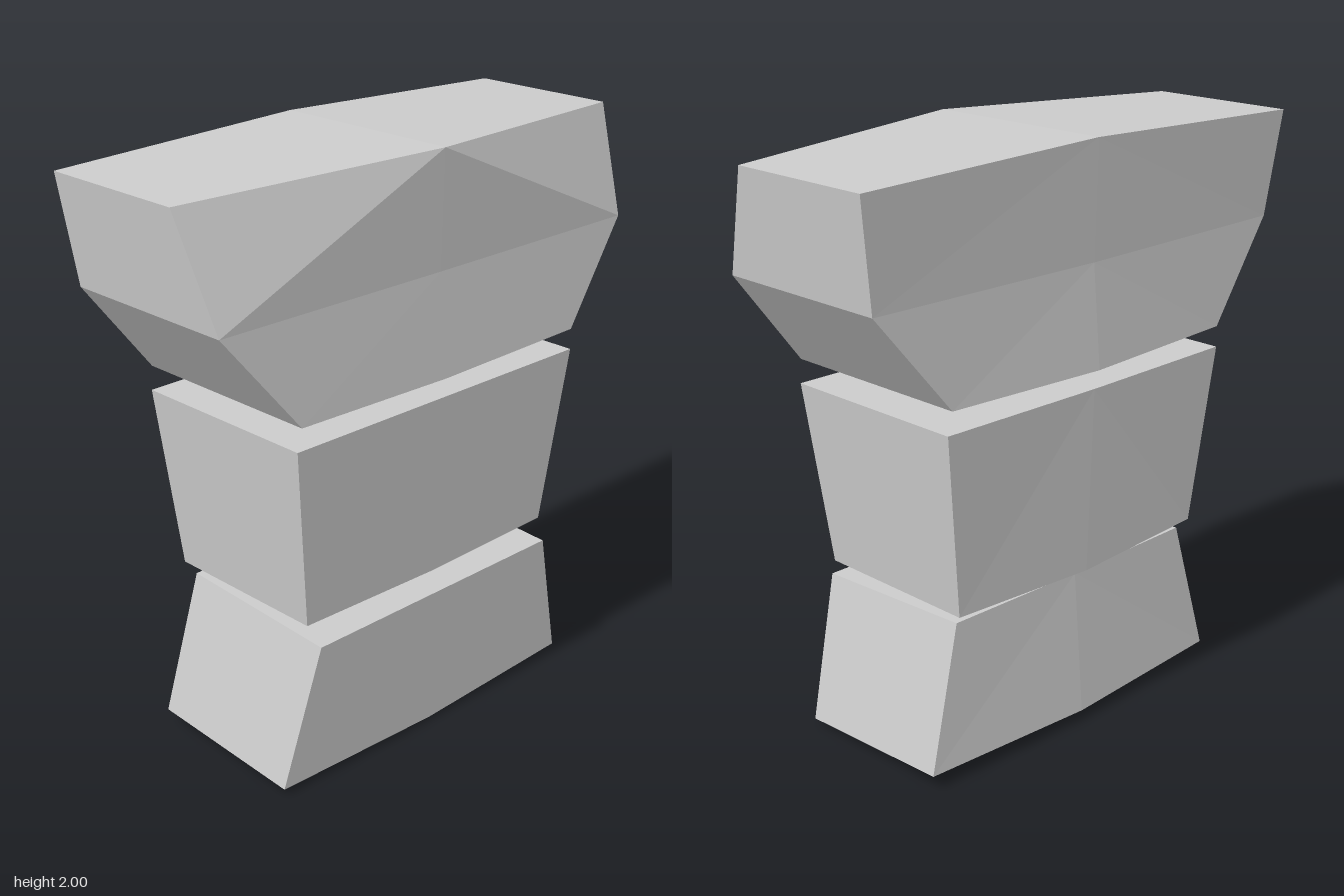
import * as THREE from 'three';

const material = new THREE.MeshStandardMaterial({ color: 0xcccccc, flatShading: true });

// Six-point section: half width, then [y, z] of front corner, front centre, back corner, back centre
function section(w, front, frontMid, back, backMid) {
  return [
    [-w, ...front], [0, ...frontMid], [w, ...front],
    [w, ...back], [0, ...backMid], [-w, ...back],
  ];
}

// Closed block lofted through sections listed from bottom to top
function block(name, sections) {
  const index = [];
  for (let s = 0; s < sections.length - 1; s++) {
    for (let i = 0; i < 6; i++) {
      const j = (i + 1) % 6;
      const a = s * 6 + i, b = s * 6 + j, c = b + 6, d = a + 6;
      // mirrored diagonals, running from the upper centre to the lower corner
      if (i % 3 === 1) index.push(a, b, d, b, c, d);
      else index.push(a, b, c, a, c, d);
    }
  }
  // bottom and top caps
  const t = (sections.length - 1) * 6;
  for (const [a, b, c, d] of [[0, 1, 4, 5], [1, 2, 3, 4]]) {
    index.push(a, c, b, a, d, c);
    index.push(t + a, t + b, t + c, t + a, t + c, t + d);
  }
  const geometry = new THREE.BufferGeometry();
  geometry.setAttribute('position', new THREE.Float32BufferAttribute(sections.flat(2), 3));
  geometry.setIndex(index);
  geometry.computeVertexNormals();
  const mesh = new THREE.Mesh(geometry, material);
  mesh.name = name;
  return mesh;
}

export function createModel() {
  const model = new THREE.Group();
  model.name = 'torso';
  model.add(
    // flared lower block, tilted forward
    block('hips', [
      section(0.66, [0.02, 0.31], [0.0, 0.315], [0.05, -0.285], [0.035, -0.31]),
      section(0.53, [0.505, 0.35], [0.505, 0.35], [0.535, -0.262], [0.535, -0.27]),
    ]),
    // tapered middle block
    block('waist', [
      section(0.55, [0.573, 0.308], [0.563, 0.31], [0.573, -0.297], [0.563, -0.322]),
      section(0.622, [1.2, 0.357], [1.2, 0.357], [1.2, -0.335], [1.2, -0.345]),
    ]),
    // broad upper block with sloped front shoulders
    block('chest', [
      section(0.61, [1.277, 0.365], [1.267, 0.368], [1.277, -0.343], [1.267, -0.365]),
      section(0.88, [1.61, 0.33], [1.61, 0.335], [1.61, -0.315], [1.61, -0.335]),
      section(0.93, [1.97, 0.2], [2.0, 0.345], [1.97, -0.338], [2.0, -0.347]),
    ]),
  );
  return model;
}
